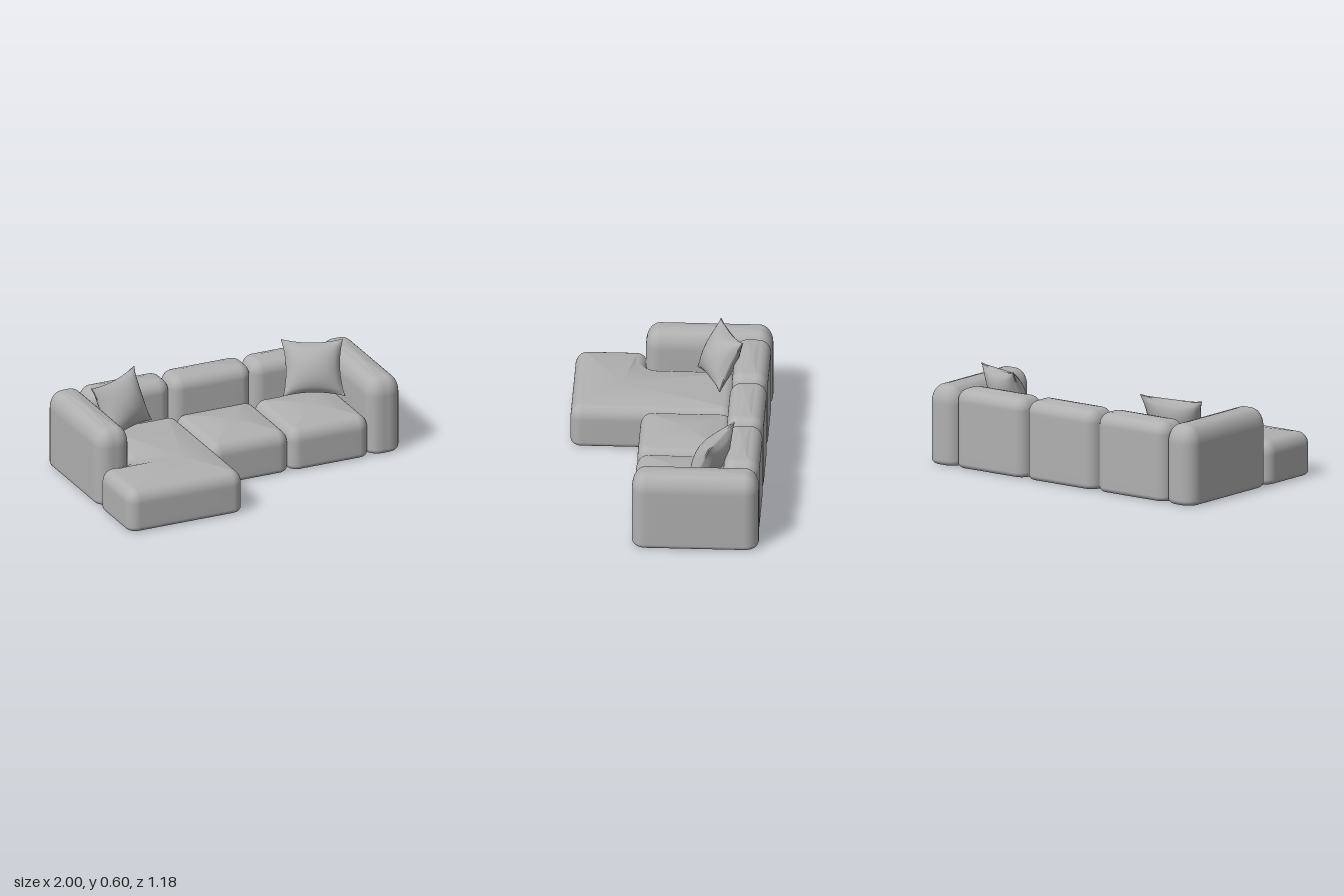
import * as THREE from 'three';

const fabric = new THREE.MeshStandardMaterial({ color: 0xb0b0b0 });
fabric.name = 'grey fabric';

// Rounded outline of a right-angled plan; each point carries its outward normal.
function roundedOutline(corners, r) {
  const pts = [], n = corners.length;
  const dir = (a, b) => new THREE.Vector2(b[0] - a[0], b[1] - a[1]).normalize();
  for (let i = 0; i < n; i++) {
    const c = corners[i], next = corners[(i + 1) % n];
    const d0 = dir(corners[(i + n - 1) % n], c), d1 = dir(c, next);
    const sign = d0.x * d1.y - d0.y * d1.x < 0 ? 1 : -1;
    const cx = c[0] + (d1.x - d0.x) * r, cz = c[1] + (d1.y - d0.y) * r;
    for (let k = 0; k <= 8; k++) {
      const a = (k / 8) * Math.PI / 2;
      const nx = -d1.x * Math.cos(a) + d0.x * Math.sin(a);
      const nz = -d1.y * Math.cos(a) + d0.y * Math.sin(a);
      pts.push({ x: cx + nx * r, z: cz + nz * r, nx: nx * sign, nz: nz * sign });
    }
    // straight run to the next corner
    const len = Math.hypot(next[0] - c[0], next[1] - c[1]) - 2 * r;
    for (let k = 1; k < 8; k++) {
      const s = r + len * k / 8;
      pts.push({ x: c[0] + d1.x * s, z: c[1] + d1.y * s, nx: -d1.y, nz: d1.x });
    }
  }
  return pts;
}

// Upholstered block: small fillet below, large soft edge above, domed top.
function upholstery(name, corners, center, o) {
  const outline = roundedOutline(corners, o.corner);
  const rings = [];
  const foot = 0.03, y0 = 0.005, shoulder = o.top - o.drop;
  for (let k = 0; k < 4; k++) rings.push({ inset: foot, y: y0, scale: k / 4 });
  for (let k = 0; k <= 5; k++) {
    const a = (k / 5) * Math.PI / 2;
    rings.push({ inset: foot * (1 - Math.sin(a)), y: y0 + foot * (1 - Math.cos(a)), scale: 1 });
  }
  for (let k = 1; k < 5; k++) {
    rings.push({ inset: 0, y: y0 + foot + (shoulder - y0 - foot) * k / 5, scale: 1 });
  }
  for (let k = 0; k <= 10; k++) {
    const a = (k / 10) * Math.PI / 2;
    rings.push({ inset: o.soft * (1 - Math.cos(a)), y: shoulder + o.drop * Math.sin(a), scale: 1 });
  }
  for (let k = 9; k >= 0; k--) {
    const s = k / 10;
    rings.push({ inset: o.soft, y: o.top + o.dome * (1 - s * s), scale: s });
  }

  const pos = [], index = [], n = outline.length;
  rings.forEach((ring, i) => {
    outline.forEach((p, j) => {
      const x = p.x - p.nx * ring.inset, z = p.z - p.nz * ring.inset;
      pos.push(center[0] + (x - center[0]) * ring.scale, ring.y, center[1] + (z - center[1]) * ring.scale);
      if (i === rings.length - 1) return;
      const a = i * n + j, b = i * n + (j + 1) % n;
      index.push(a, b, a + n, b, b + n, a + n);
    });
  });
  const geo = new THREE.BufferGeometry();
  geo.setAttribute('position', new THREE.Float32BufferAttribute(pos, 3));
  geo.setIndex(index);
  geo.computeVertexNormals();
  const mesh = new THREE.Mesh(geo, fabric);
  mesh.name = name;
  return mesh;
}

function block(name, x0, x1, z0, z1, o) {
  const corners = [[x0, z1], [x1, z1], [x1, z0], [x0, z0]];
  return upholstery(name, corners, [(x0 + x1) / 2, (z0 + z1) / 2], o);
}

// Square throw pillow with pinched sides and pointed corners.
function pillow(name, center, side, up) {
  const geo = new THREE.BoxGeometry(2, 2, 2, 20, 20, 1);
  const p = geo.attributes.position;
  for (let i = 0; i < p.count; i++) {
    const u = p.getX(i), v = p.getY(i);
    const fu = 1 - u * u, fv = 1 - v * v;
    const puff = 0.004 + 0.085 * Math.pow(Math.max(0, fu * fv), 0.6);
    p.setXYZ(i, u * (1 - 0.13 * fv), v * (1 - 0.13 * fu), Math.sign(p.getZ(i)) * puff);
  }
  const ux = new THREE.Vector3(...side), uy = new THREE.Vector3(...up);
  const uz = ux.clone().cross(uy).normalize();
  geo.applyMatrix4(new THREE.Matrix4().makeBasis(ux, uy, uz).setPosition(...center));
  geo.computeVertexNormals();
  const mesh = new THREE.Mesh(geo, fabric);
  mesh.name = name;
  return mesh;
}

export function createModel() {
  const sofa = new THREE.Group();
  sofa.name = 'sectionalSofa';

  const seat = { corner: 0.07, soft: 0.068, drop: 0.08, top: 0.268, dome: 0.024 };
  const back = { corner: 0.075, soft: 0.07, drop: 0.075, top: 0.485, dome: 0.008 };
  const arm = { corner: 0.085, soft: 0.08, drop: 0.11, top: 0.487, dome: 0.006 };

  // Arms
  sofa.add(block('rightArm', -1, -0.785, -0.59, 0.165, arm));
  sofa.add(block('leftArm', 0.78, 0.998, -0.59, 0.165, arm));

  // Back cushions
  sofa.add(block('rightBack', -0.802, -0.268, -0.585, -0.37, back));
  sofa.add(block('middleBack', -0.265, 0.265, -0.585, -0.365, back));
  sofa.add(block('leftBack', 0.265, 0.797, -0.585, -0.37, back));

  // Seats, with the chaise wrapping around the end of the right arm
  sofa.add(block('middleSeat', -0.262, 0.258, -0.385, 0.167, seat));
  sofa.add(block('leftSeat', 0.258, 0.785, -0.385, 0.167, seat));
  const chaise = [[-1, 0.588], [-0.245, 0.588], [-0.245, -0.385], [-0.785, -0.385], [-0.785, 0.155], [-1, 0.155]];
  sofa.add(upholstery('chaise', chaise, [-0.51, 0.29], seat));

  // Throw pillows
  sofa.add(pillow('rightPillow', [-0.64, 0.435, -0.288], [0.175, 0.012, -0.073], [-0.026, 0.152, -0.068]));
  sofa.add(pillow('leftPillow', [0.62, 0.437, -0.288], [0.172, -0.004, 0.068], [0.024, 0.155, -0.066]));

  return sofa;
}
